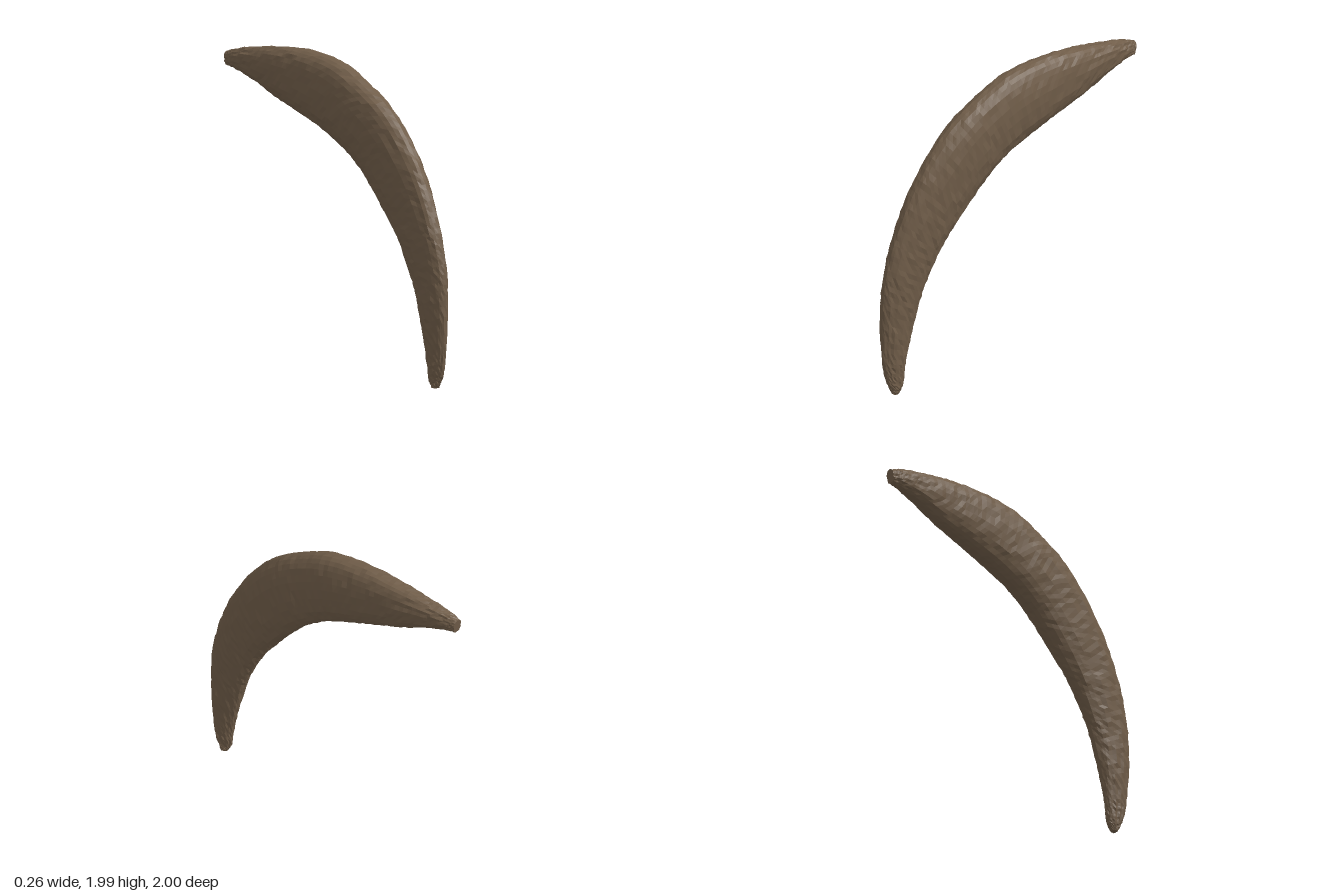
import * as THREE from 'three';

// Stations along the horn: outer edge z, y; inner edge z, y; min x, max x
const STATIONS = [
  [0.91, 0.00, 0.87, 0.00, 0.00, 0.045],
  [0.95, 0.08, 0.84, 0.05, -0.01, 0.055],
  [0.98, 0.22, 0.82, 0.18, -0.02, 0.06],
  [0.995, 0.50, 0.77, 0.40, -0.037, 0.072],
  [0.98, 0.74, 0.71, 0.60, -0.045, 0.085],
  [0.925, 0.97, 0.62, 0.79, -0.058, 0.095],
  [0.83, 1.21, 0.52, 0.95, -0.07, 0.107],
  [0.69, 1.45, 0.38, 1.12, -0.085, 0.118],
  [0.50, 1.67, 0.22, 1.29, -0.10, 0.123],
  [0.27, 1.83, 0.06, 1.41, -0.117, 0.115],
  [0.00, 1.95, -0.12, 1.50, -0.128, 0.107],
  [-0.30, 1.99, -0.33, 1.58, -0.133, 0.082],
  [-0.55, 1.98, -0.55, 1.66, -0.134, 0.05],
  [-0.77, 1.95, -0.78, 1.755, -0.134, 0.006],
  [-0.93, 1.92, -0.93, 1.80, -0.132, -0.035],
  [-1.00, 1.90, -0.99, 1.81, -0.122, -0.055],
];
const ROWS = 110, SIDES = 30;

// Repeatable noise in -1..1
function hash(i, j) {
  const s = Math.sin(i * 127.1 + j * 311.7) * 43758.5453;
  return 2 * (s - Math.floor(s)) - 1;
}

function hornGeometry() {
  const curve = (a, b, c) => new THREE.CatmullRomCurve3(
    STATIONS.map(s => new THREE.Vector3(c === null ? 0 : s[c], s[b], s[a])));
  const outer = curve(0, 1, null), inner = curve(2, 3, null);
  const widths = curve(4, 5, null); // z holds min x, y holds max x
  const pos = [], index = [];
  const power = v => Math.sign(v) * Math.pow(Math.abs(v), 0.88);

  for (let i = 0; i <= ROWS; i++) {
    const t = i / ROWS;
    const o = outer.getPoint(t), n = inner.getPoint(t), w = widths.getPoint(t);
    const mid = o.clone().add(n).multiplyScalar(0.5);
    const half = o.clone().sub(n).multiplyScalar(0.5);
    const cx = (w.z + w.y) / 2, hx = (w.y - w.z) / 2;
    for (let j = 0; j < SIDES; j++) {
      const a = j / SIDES * Math.PI * 2;
      // Flaky ridges that run lengthwise, plus fine grain
      const rough = 0.003 * hash(Math.floor((i + j % 4) / 4), j) + 0.003 * hash(i + 50, j);
      const c = power(Math.cos(a)) * (1 + rough / half.length());
      const s = power(Math.sin(a)) * (1 + rough / hx);
      pos.push(cx + s * hx, Math.max(0, mid.y + c * half.y), mid.z + c * half.z);
    }
  }
  for (let i = 0; i < ROWS; i++) {
    for (let j = 0; j < SIDES; j++) {
      const k = (j + 1) % SIDES;
      const a = i * SIDES + j, b = i * SIDES + k, c = a + SIDES, d = b + SIDES;
      index.push(a, b, c, b, d, c);
    }
  }
  // Blunt end caps
  for (const row of [0, ROWS]) {
    const s = STATIONS[row ? STATIONS.length - 1 : 0];
    const centre = pos.length / 3;
    pos.push((s[4] + s[5]) / 2, (s[1] + s[3]) / 2, (s[0] + s[2]) / 2);
    for (let j = 0; j < SIDES; j++) {
      const a = row * SIDES + j, b = row * SIDES + (j + 1) % SIDES;
      index.push(centre, row ? a : b, row ? b : a);
    }
  }
  const g = new THREE.BufferGeometry();
  g.setAttribute('position', new THREE.Float32BufferAttribute(pos, 3));
  g.setIndex(index);
  const flat = g.toNonIndexed(); // separate faces for a chipped surface
  flat.computeVertexNormals();
  return flat;
}

export function createModel() {
  const brown = new THREE.MeshStandardMaterial({ color: 0x705d49 });
  brown.name = 'weathered brown';
  const horn = new THREE.Mesh(hornGeometry(), brown);
  horn.name = 'curvedHorn';
  const group = new THREE.Group();
  group.name = 'horn';
  group.add(horn);
  return group;
}
